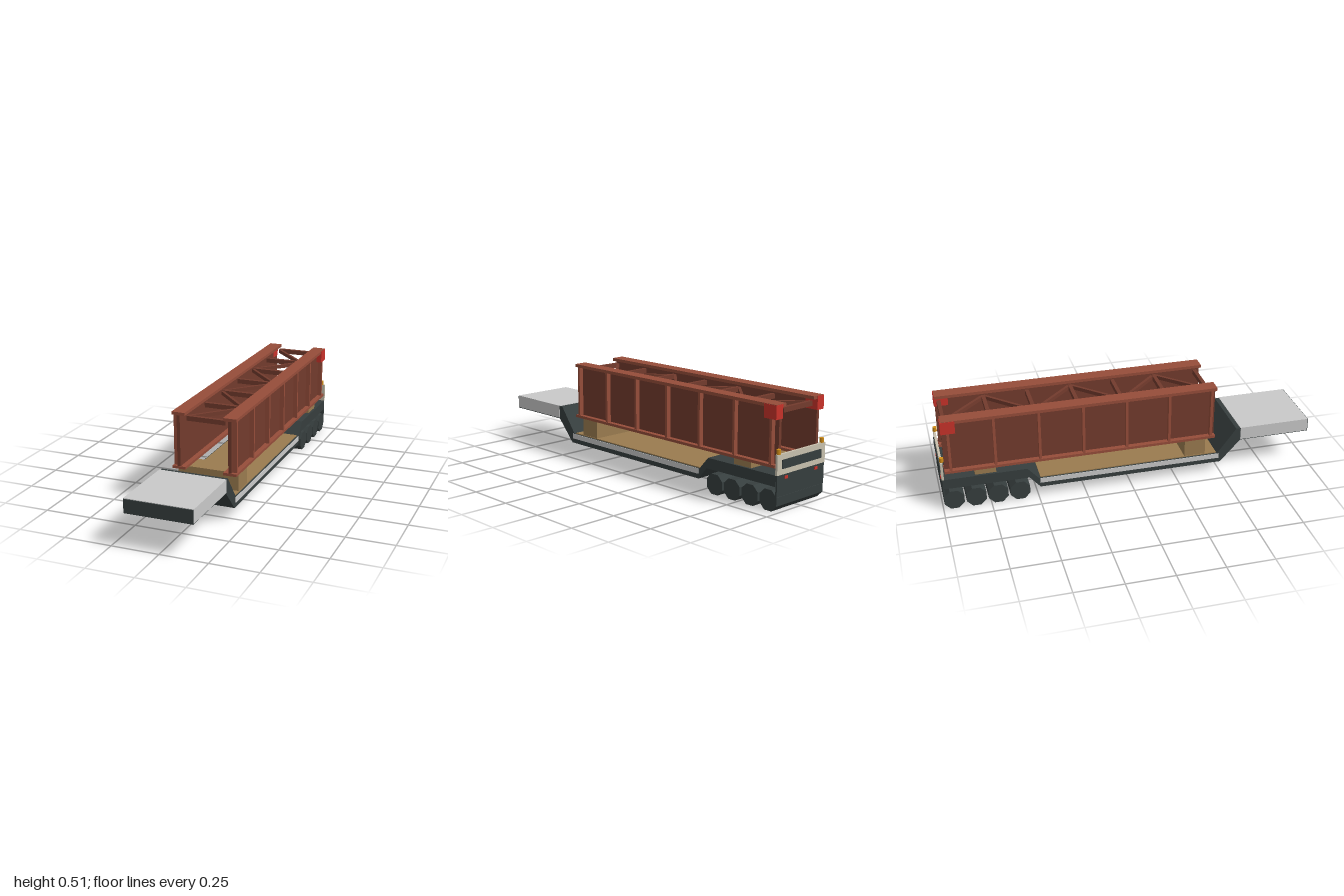
import * as THREE from 'three';

const mat = (name, color) => {
  const m = new THREE.MeshStandardMaterial({ color });
  m.name = name;
  return m;
};

export function createModel() {
  const root = new THREE.Group();
  root.name = 'girderTrailer';
  const rust = mat('rustRed', 0x964d3a);
  const darkRust = mat('darkRust', 0x733b2d);
  const slate = mat('slate', 0x363e3e);
  const grey = mat('lightGrey', 0xc9c9c9);
  const wood = mat('timber', 0x9a7b4f);
  const cream = mat('cream', 0xc9c1ae);
  const red = mat('signalRed', 0xc8322a);
  const amber = mat('amber', 0xd08c18);

  // Box given by its limits on each axis
  const box = (name, m, [x0, x1], [y0, y1], [z0, z1], parent = root) => {
    const mesh = new THREE.Mesh(new THREE.BoxGeometry(x1 - x0, y1 - y0, z1 - z0), m);
    mesh.position.set((x0 + x1) / 2, (y0 + y1) / 2, (z0 + z1) / 2);
    mesh.name = name;
    parent.add(mesh);
    return mesh;
  };
  // Same box on the left and right sides
  const pair = (name, m, [x0, x1], y, z) => {
    box(name + 'Left', m, [x0, x1], y, z);
    box(name + 'Right', m, [-x1, -x0], y, z);
  };

  // Low-bed chassis: side profile (z, y) extruded across the width
  const profile = [
    [1, 0.18], [0.61, 0.18], [0.5, 0.06], [-0.49, 0.06], [-0.545, 0.125], [-0.985, 0.125],
    [-0.985, 0.18], [-0.555, 0.18], [-0.495, 0.112], [0.48, 0.112], [0.585, 0.251], [1, 0.251],
  ].map(([z, y]) => new THREE.Vector2(z, y));
  const chassisGeo = new THREE.ExtrudeGeometry(new THREE.Shape(profile), { depth: 0.354, bevelEnabled: false });
  chassisGeo.translate(0, 0, -0.177).rotateY(-Math.PI / 2);
  const chassis = new THREE.Mesh(chassisGeo, slate);
  chassis.name = 'chassis';
  root.add(chassis);

  // Gooseneck cladding and coupling plate
  box('gooseneckTop', grey, [-0.177, 0.177], [0.251, 0.254], [0.608, 0.996]);
  pair('gooseneckSide', grey, [0.177, 0.179], [0.184, 0.254], [0.61, 0.996]);
  box('couplingPlate', slate, [-0.128, 0.128], [0.172, 0.18], [0.83, 0.95]);

  // Timber deck, side rails and load bearers
  box('deckBoards', wood, [-0.168, 0.168], [0.112, 0.117], [-0.488, 0.478]);
  pair('sideRail', grey, [0.177, 0.18], [0.085, 0.112], [-0.49, 0.49]);
  box('frontBearer', wood, [-0.165, 0.165], [0.117, 0.212], [0.3, 0.415]);
  box('rearBearer', wood, [-0.165, 0.165], [0.18, 0.212], [-0.825, -0.715]);

  // Four full-width octagonal rollers
  const wheelGeo = new THREE.CylinderGeometry(0.056, 0.056, 0.348, 8);
  wheelGeo.rotateY(Math.PI / 8).rotateZ(Math.PI / 2);
  const wheelMat = slate.clone();
  wheelMat.name = 'tyre';
  wheelMat.flatShading = true;
  for (let i = 0; i < 4; i++) {
    const wheel = new THREE.Mesh(wheelGeo, wheelMat);
    wheel.name = 'wheel' + (i + 1);
    wheel.position.set(0, 0.0517, -0.597 - i * 0.1145);
    root.add(wheel);
  }

  // Rear board with dark panel, lamps and beacons
  box('rearSkirt', slate, [-0.175, 0.175], [0.075, 0.18], [-0.994, -0.985]);
  box('rearBoard', cream, [-0.178, 0.178], [0.18, 0.28], [-0.996, -0.984]);
  box('rearPanel', slate, [-0.145, 0.145], [0.208, 0.252], [-1, -0.996]);
  pair('tailLamp', red, [0.1, 0.122], [0.156, 0.17], [-0.998, -0.994]);
  for (const s of [-1, 1]) {
    const beacon = new THREE.Mesh(new THREE.CylinderGeometry(0.011, 0.011, 0.024, 8), amber);
    beacon.name = s > 0 ? 'beaconLeft' : 'beaconRight';
    beacon.position.set(s * 0.16, 0.292, -0.987);
    root.add(beacon);
  }

  // Two plate girders with outer stiffeners and red end markers
  const span = [-0.977, 0.467];
  const pitch = 0.231;
  pair('topFlange', rust, [0.103, 0.174], [0.497, 0.513], span);
  pair('bottomFlange', rust, [0.103, 0.174], [0.212, 0.226], span);
  pair('web', darkRust, [0.13, 0.147], [0.226, 0.497], [-0.975, 0.465]);
  for (let i = 0; i < 7; i++) {
    const z = 0.442 - i * pitch;
    pair('stiffener' + (i + 1), rust, [0.147, 0.171], [0.226, 0.497], [z - 0.007, z + 0.007]);
  }
  pair('endMarker', red, [0.128, 0.176], [0.443, 0.511], [-0.98, -0.906]);

  // Cross bracing between the girders
  for (let i = 0; i < 7; i++) {
    const z = 0.43 - i * pitch;
    box('crossBar' + (i + 1), darkRust, [-0.105, 0.105], [0.465, 0.49], [z - 0.01, z + 0.01]);
    if (i === 6) break;
    const s = i % 2 ? 1 : -1;
    const dx = -2 * s * 0.1;
    const dz = -(pitch - 0.02);
    const brace = new THREE.Mesh(new THREE.BoxGeometry(0.015, 0.02, Math.hypot(dx, dz)), darkRust);
    brace.name = 'diagonal' + (i + 1);
    brace.position.set(0, 0.4775, z - pitch / 2);
    brace.rotation.y = Math.atan2(dx, dz);
    root.add(brace);
  }
  return root;
}
